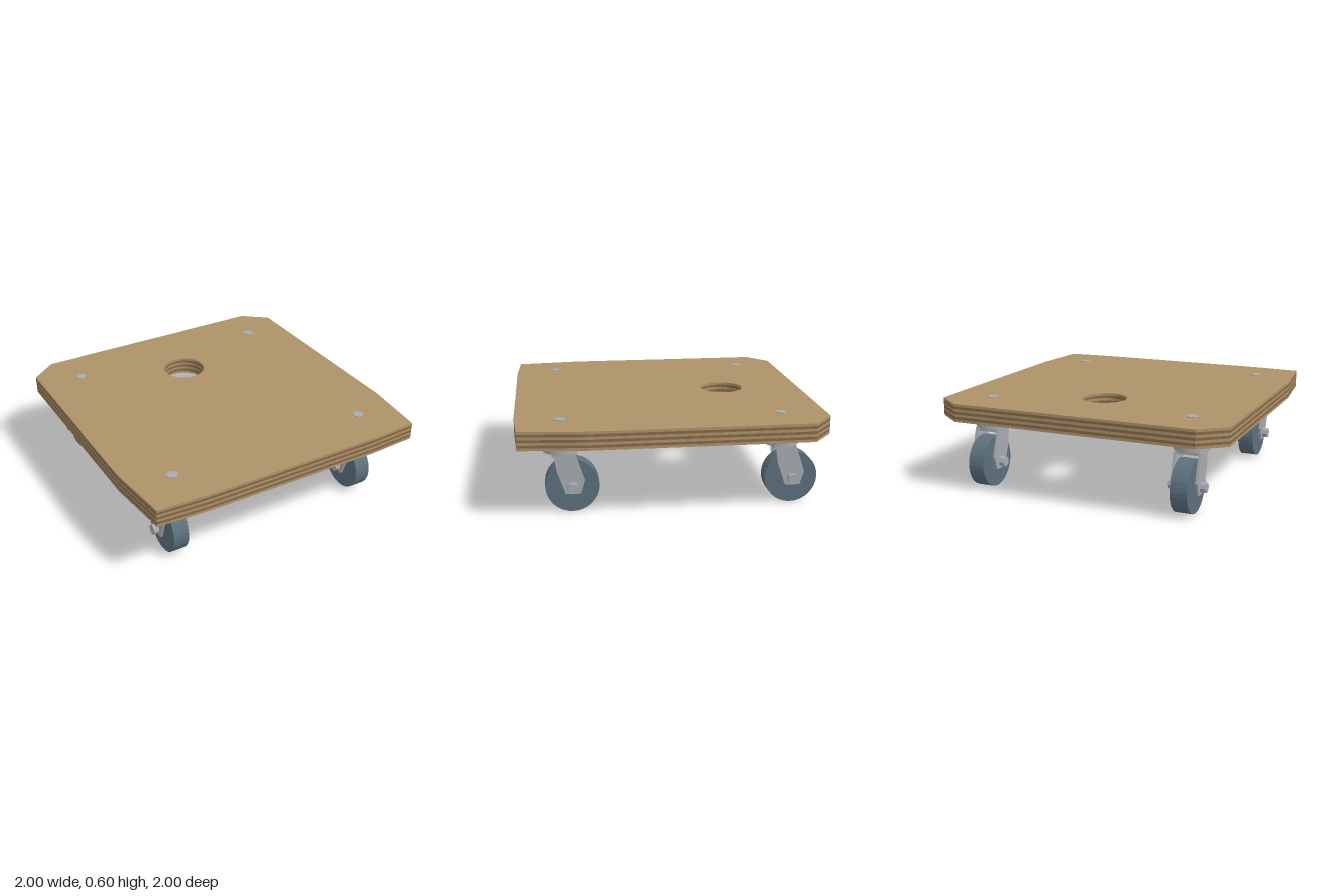
import * as THREE from 'three';

const mat = (color, flatShading = false) => new THREE.MeshStandardMaterial({ color, flatShading });
const TAN = mat(0xae9268), DARK = mat(0x86694a), METAL = mat(0xa6abb0, true), RUBBER = mat(0x5c707c, true);

function add(parent, name, geometry, material, x = 0, y = 0, z = 0) {
  const mesh = new THREE.Mesh(geometry, material);
  mesh.name = name;
  mesh.position.set(x, y, z);
  parent.add(mesh);
  return mesh;
}

// Upright wall along closed loops (counter-clockwise outside, clockwise holes)
function wall(loops, lo, hi) {
  const pos = [];
  for (const loop of loops) {
    loop.forEach((p, i) => {
      const q = loop[(i + 1) % loop.length];
      pos.push(p.x, lo, -p.y, q.x, lo, -q.y, q.x, hi, -q.y);
      pos.push(p.x, lo, -p.y, q.x, hi, -q.y, p.x, hi, -p.y);
    });
  }
  const g = new THREE.BufferGeometry();
  g.setAttribute('position', new THREE.Float32BufferAttribute(pos, 3));
  g.computeVertexNormals();
  return g;
}

// Plywood deck with clipped corners and a round grip hole
function makeDeck(bottom, top) {
  const deck = new THREE.Group();
  deck.name = 'deck';
  const half = [[0.62, -1], [0.955, -0.98], [1, -0.55], [1, 0.865], [0.83, 1]];
  const mirrored = half.map(([x, y]) => [-x, y]).reverse();
  const outline = [...half, ...mirrored].map(([x, y]) => new THREE.Vector2(x, y));
  const hole = [];
  for (let i = 0; i < 40; i++) {
    const a = -i / 40 * Math.PI * 2;
    hole.push(new THREE.Vector2(0.147 * Math.cos(a), 0.455 + 0.147 * Math.sin(a)));
  }
  const shape = new THREE.Shape(outline);
  shape.holes.push(new THREE.Path(hole));
  add(deck, 'deckTop', new THREE.ShapeGeometry(shape).rotateX(-Math.PI / 2), TAN, 0, top, 0);
  const under = new THREE.Shape(outline.map(p => new THREE.Vector2(p.x, -p.y)));
  under.holes.push(new THREE.Path(hole.map(p => new THREE.Vector2(p.x, -p.y))));
  add(deck, 'deckUnderside', new THREE.ShapeGeometry(under).rotateX(Math.PI / 2), TAN, 0, bottom, 0);

  // Alternating veneers on the outer edge and inside the hole
  const plies = 7, t = (top - bottom) / plies;
  for (let i = 0; i < plies; i++) {
    add(deck, 'ply' + (i + 1), wall([outline, hole], bottom + i * t, bottom + (i + 1) * t), i % 2 ? DARK : TAN);
  }
  return deck;
}

// Swivel caster, its wheel trailing behind the pivot
function makeCaster() {
  const caster = new THREE.Group();
  caster.name = 'caster';
  const axleY = 0.172, axleZ = -0.065;
  const across = (r, length, sides) => new THREE.CylinderGeometry(r, r, length, sides).rotateZ(Math.PI / 2);

  add(caster, 'swivelHousing', new THREE.CylinderGeometry(0.115, 0.115, 0.08, 32), METAL, 0, 0.435, 0);
  add(caster, 'forkCrown', new THREE.BoxGeometry(0.176, 0.023, 0.145), METAL, 0, 0.384, -0.012);
  add(caster, 'pivotNut', new THREE.CylinderGeometry(0.03, 0.03, 0.014, 12), METAL, 0, 0.366, 0);
  add(caster, 'deckBolt', new THREE.CylinderGeometry(0.035, 0.035, 0.008, 24), METAL, 0, 0.596, 0);

  // Raked fork legs, profile given as z, y
  const profile = [[0.045, 0.394], [0.045, 0.37], [0.033, 0.283], [-0.02, 0.128],
    [-0.117, 0.128], [-0.143, 0.215], [-0.085, 0.394]];
  const leg = new THREE.ExtrudeGeometry(
    new THREE.Shape(profile.map(([z, y]) => new THREE.Vector2(-z, y))),
    { depth: 0.016, bevelEnabled: false }
  ).translate(0, 0, -0.008).rotateY(Math.PI / 2);

  for (const s of [1, -1]) {
    add(caster, 'forkLeg', leg, METAL, s * 0.08, 0, 0);
    add(caster, 'axleNut', across(0.035, 0.037, 8), METAL, s * 0.105, axleY, axleZ);
  }
  add(caster, 'axle', across(0.018, 0.2, 12), METAL, 0, axleY, axleZ);
  add(caster, 'wheel', across(0.172, 0.11, 32), RUBBER, 0, axleY, axleZ);
  return caster;
}

export function createModel() {
  const model = new THREE.Group();
  model.name = 'furnitureDolly';
  model.add(makeDeck(0.475, 0.595));
  for (const x of [-0.71, 0.71]) {
    for (const z of [-0.71, 0.71]) {
      const caster = makeCaster();
      caster.position.set(x, 0, z);
      model.add(caster);
    }
  }
  return model;
}
